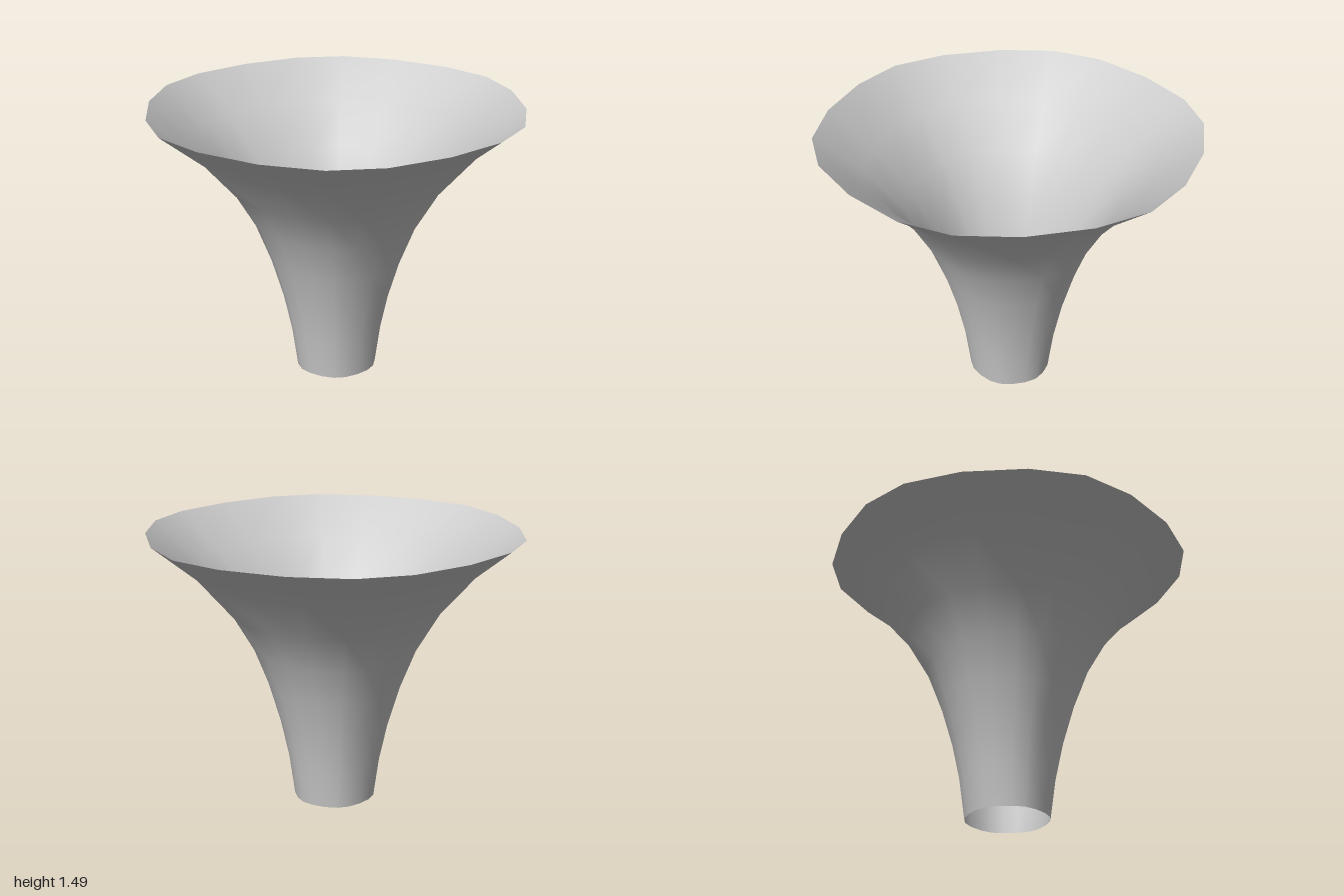
import * as THREE from 'three';
import { mergeVertices } from 'three/addons/utils/BufferGeometryUtils.js';

// Flared profile: radius and height
const PROFILE = [
  [0.225, 0], [0.255, 0.22], [0.30, 0.43], [0.365, 0.65],
  [0.447, 0.86], [0.57, 1.07], [0.765, 1.295], [1, 1.487],
];

// One quarter of the slightly uneven 20-sided cross-section: x, z
const QUARTER = [[0, 0.97], [0.324, 0.933], [0.576, 0.812], [0.784, 0.583], [0.938, 0.287], [1, 0]];

// Mirrors the quarter to find corner i of the full ring
function ringCorner(i) {
  const k = i % 20;
  const half = k > 10 ? 20 - k : k;
  const [x, z] = QUARTER[half > 5 ? 10 - half : half];
  return [k > 10 ? -x : x, half > 5 ? -z : z];
}

export function createModel() {
  const group = new THREE.Group();
  group.name = 'funnel';

  // Thin open flared wall
  const lathe = new THREE.LatheGeometry(PROFILE.map(([r, y]) => new THREE.Vector2(r, y)), 20);
  const pos = lathe.attributes.position;
  for (let i = 0; i < pos.count; i++) {
    const [r, y] = PROFILE[i % PROFILE.length];
    const [x, z] = ringCorner(Math.floor(i / PROFILE.length));
    pos.setXYZ(i, r * x, y, r * z);
  }

  // Weld the seam so the shading stays smooth all round
  lathe.deleteAttribute('uv');
  lathe.deleteAttribute('normal');
  const geometry = mergeVertices(lathe);
  geometry.computeVertexNormals();

  const wall = new THREE.Mesh(
    geometry,
    new THREE.MeshStandardMaterial({ color: 0xcccccc, side: THREE.DoubleSide }),
  );
  wall.name = 'flaredWall';
  group.add(wall);
  return group;
}
